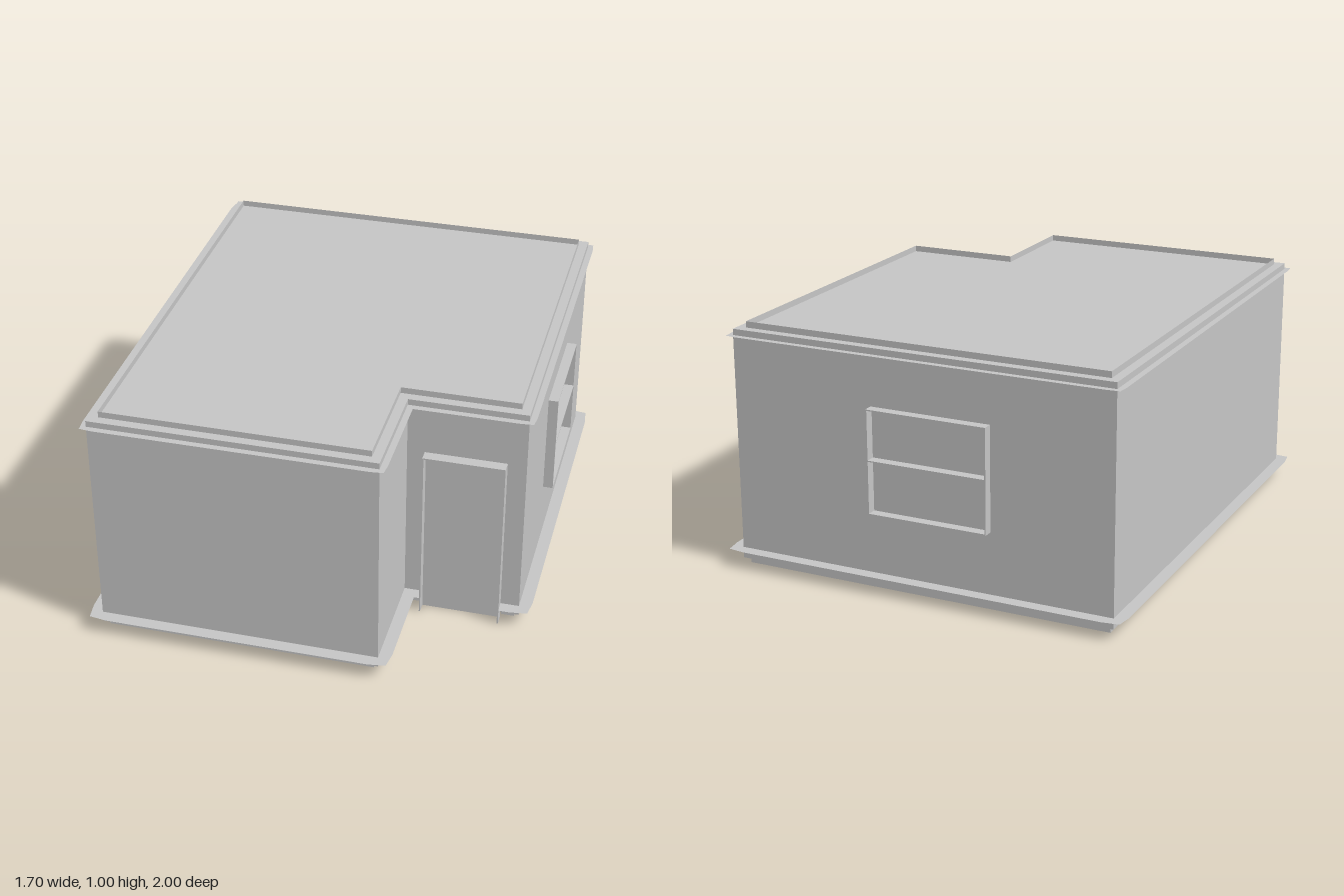
import * as THREE from 'three';

const plaster = new THREE.MeshStandardMaterial({ color: 0xc4c4c4, side: THREE.DoubleSide });
plaster.name = 'grey plaster';

// Wall plan as [x, z], running round from one door jamb to the other
const PLAN = [
  [0.725, 0.5], [0.8, 0.5], [0.8, -0.95], [-0.8, -0.95],
  [-0.8, 0.95], [0.33, 0.95], [0.33, 0.5], [0.4, 0.5],
];

function mesh(name, geometry) {
  const m = new THREE.Mesh(geometry, plaster);
  m.name = name;
  return m;
}

function box(name, w, h, d, x, y, z) {
  const m = mesh(name, new THREE.BoxGeometry(w, h, d));
  m.position.set(x, y, z);
  return m;
}

// Plan moved outward by o; blunt > 0 trims the outer corners
function offsetPlan(o, closed, blunt = 0) {
  const dir = (a, b) => {
    const l = Math.hypot(b[0] - a[0], b[1] - a[1]);
    return [(b[0] - a[0]) / l, (b[1] - a[1]) / l];
  };
  const out = [];
  PLAN.forEach((p, i) => {
    const n = PLAN.length;
    if (i === 0 || i === n - 1) {
      out.push([p[0], p[1] + o]);
      return;
    }
    const e1 = dir(PLAN[i - 1], p), e2 = dir(p, PLAN[i + 1]);
    const n1 = [-e1[1], e1[0]], n2 = [-e2[1], e2[0]];
    const convex = n1[0] * e2[0] + n1[1] * e2[1] < 0;
    const at = (f) => [p[0] + (n1[0] + n2[0]) * o * f, p[1] + (n1[1] + n2[1]) * o * f];
    if (convex && blunt > 0) {
      out.push([p[0] - e1[0] * 0.03 + n1[0] * o, p[1] - e1[1] * 0.03 + n1[1] * o]);
      out.push(at(1 - blunt));
      out.push([p[0] + e2[0] * 0.03 + n2[0] * o, p[1] + e2[1] * 0.03 + n2[1] * o]);
    } else out.push(at(1));
  });
  if (closed) out.push(out[0]);
  return out;
}

const toShape = (pts) => new THREE.Shape(pts.map(([x, z]) => new THREE.Vector2(x, -z)));

// Flat sheet projecting from the walls
function ledge(name, o, y, closed) {
  const pts = offsetPlan(o, closed, 0.2).concat(offsetPlan(0, closed).reverse());
  const g = new THREE.ShapeGeometry(toShape(pts));
  g.rotateX(-Math.PI / 2).translate(0, y, 0);
  return mesh(name, g);
}

// Upright sheet following the plan
function upright(name, o, y0, y1, closed) {
  const pts = offsetPlan(o, closed);
  const pos = [];
  for (let i = 0; i < pts.length - 1; i++) {
    const [ax, az] = pts[i], [bx, bz] = pts[i + 1];
    pos.push(bx, y0, bz, ax, y0, az, ax, y1, az, bx, y0, bz, ax, y1, az, bx, y1, bz);
  }
  const g = new THREE.BufferGeometry();
  g.setAttribute('position', new THREE.Float32BufferAttribute(pos, 3));
  g.computeVertexNormals();
  return mesh(name, g);
}

// Thin frame standing out from a wall that faces +z
function frame(name, w, y0, y1, depth, rails) {
  const t = 0.005, group = new THREE.Group();
  group.name = name;
  for (const s of [-1, 1]) {
    group.add(box('jamb', t, y1 - y0, depth, s * (w - t) / 2, (y0 + y1) / 2, depth / 2));
  }
  for (const y of rails) group.add(box('rail', w, t, depth, 0, y, depth / 2));
  return group;
}

export function createModel() {
  const house = new THREE.Group();
  house.name = 'house';

  // L-shaped walls with flat roof and floor
  const body = new THREE.ExtrudeGeometry(toShape(PLAN), { depth: 0.95, bevelEnabled: false });
  body.rotateX(-Math.PI / 2).translate(0, 0.025, 0);
  house.add(mesh('walls', body));

  // Roof edge and base trim
  house.add(upright('roofRim', -0.037, 0.975, 1.0, true));
  house.add(ledge('cornice', 0.025, 0.95, true));
  house.add(ledge('baseLedge', 0.05, 0.07, false));
  house.add(upright('plinth', -0.02, 0, 0.025, false));

  // Door in the recess
  house.add(box('doorPanel', 0.32, 0.74, 0.004, 0.5625, 0.37, 0.5));
  const door = frame('doorFrame', 0.325, 0, 0.745, 0.045, [0.7425]);
  door.position.set(0.5625, 0, 0.5);
  house.add(door);

  // Windows on the right and back walls
  const rails = [0.325, 0.54, 0.7425];
  const side = frame('sideWindow', 0.47, 0.325, 0.745, 0.04, rails);
  side.rotation.y = Math.PI / 2;
  side.position.set(0.8, 0, -0.223);
  const back = frame('backWindow', 0.5, 0.325, 0.745, 0.04, rails);
  back.rotation.y = Math.PI;
  back.position.set(-0.05, 0, -0.95);
  house.add(side, back);

  return house;
}
